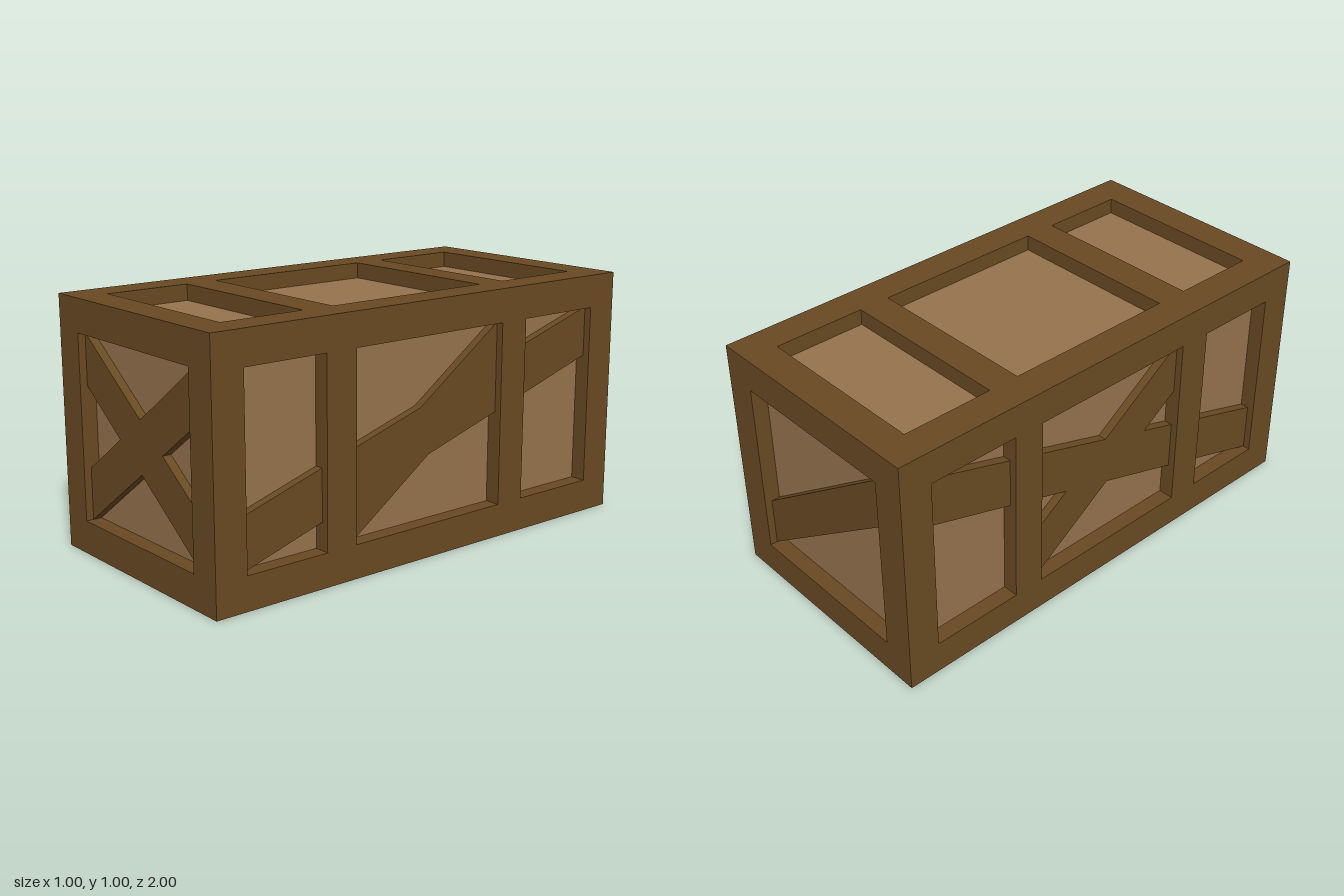
import * as THREE from 'three';

const W = 0.5, D = 1, T = 0.133, INSET = 0.065, BRACE = 0.035;
const LOW = T, HIGH = 1 - T;
const BANDS = [[-0.487, -0.357], [0.377, 0.513]]; // z ranges of the middle bands

export function createModel() {
  const model = new THREE.Group();
  model.name = 'woodenCrate';
  const frameWood = new THREE.MeshStandardMaterial({ color: 0x694a22 });
  frameWood.name = 'dark wood';
  const panelWood = new THREE.MeshStandardMaterial({ color: 0x96734d });
  panelWood.name = 'light wood';

  function box(name, mat, x0, x1, y0, y1, z0, z1) {
    const mesh = new THREE.Mesh(new THREE.BoxGeometry(x1 - x0, y1 - y0, z1 - z0), mat);
    mesh.position.set((x0 + x1) / 2, (y0 + y1) / 2, (z0 + z1) / 2);
    mesh.name = name;
    model.add(mesh);
  }

  // Slanted board with upright ends: bottom edge runs from (u0, y0) to (u1, y1)
  function brace(parent, u0, y0, u1, y1, h) {
    const shape = new THREE.Shape([
      new THREE.Vector2(u0, y0), new THREE.Vector2(u1, y1),
      new THREE.Vector2(u1, y1 + h), new THREE.Vector2(u0, y0 + h),
    ]);
    const geo = new THREE.ExtrudeGeometry(shape, { depth: BRACE, bevelEnabled: false });
    const mesh = new THREE.Mesh(geo, frameWood);
    mesh.name = 'diagonalBrace';
    parent.add(mesh);
  }

  // Group whose local z points out of one face, starting at the panel surface
  function face(name, angle, distance) {
    const g = new THREE.Group();
    g.name = name;
    g.rotation.y = angle;
    g.position.set(Math.sin(angle) * distance, 0, Math.cos(angle) * distance);
    model.add(g);
    return g;
  }

  // Inner panels
  box('panels', panelWood, -W + INSET, W - INSET, INSET, 1 - INSET, -D + INSET, D - INSET);

  // Long corner rails
  for (const x of [-W, W - T]) {
    for (const y of [0, HIGH]) box('longRail', frameWood, x, x + T, y, y + T, -D, D);
  }

  // End frames
  for (const z of [-D, D - T]) {
    for (const x of [-W, W - T]) box('cornerPost', frameWood, x, x + T, LOW, HIGH, z, z + T);
    for (const y of [0, HIGH]) box('endRail', frameWood, -W + T, W - T, y, y + T, z, z + T);
  }

  // Middle bands around the body
  for (const [z0, z1] of BANDS) {
    for (const x of [-W, W - INSET]) box('sideBand', frameWood, x, x + INSET, LOW, HIGH, z0, z1);
    for (const y of [0, 1 - INSET]) box('crossBand', frameWood, -W + T, W - T, y, y + INSET, z0, z1);
  }

  // Front cross and single back diagonal
  const e = W - T, h = 0.206;
  const front = face('frontBraces', 0, D - INSET);
  brace(front, -e, LOW, e, HIGH - h, h);
  brace(front, -e, HIGH - h, e, LOW, h);
  const back = face('backBrace', Math.PI, D - INSET);
  brace(back, -e, LOW, e, HIGH - h, h);

  // Left side: both boards rise towards the back
  const left = face('leftBraces', Math.PI / 2, W - INSET);
  brace(left, -0.867, LOW, 0.867, HIGH - 0.203, 0.203);
  brace(left, -0.377, LOW, 0.357, HIGH - 0.22, 0.22);

  // Right side: long board rises to the back, short one to the front
  const right = face('rightBraces', -Math.PI / 2, W - INSET);
  brace(right, -0.867, HIGH - 0.203, 0.867, LOW, 0.203);
  brace(right, -0.357, LOW, 0.377, HIGH - 0.22, 0.22);

  return model;
}
